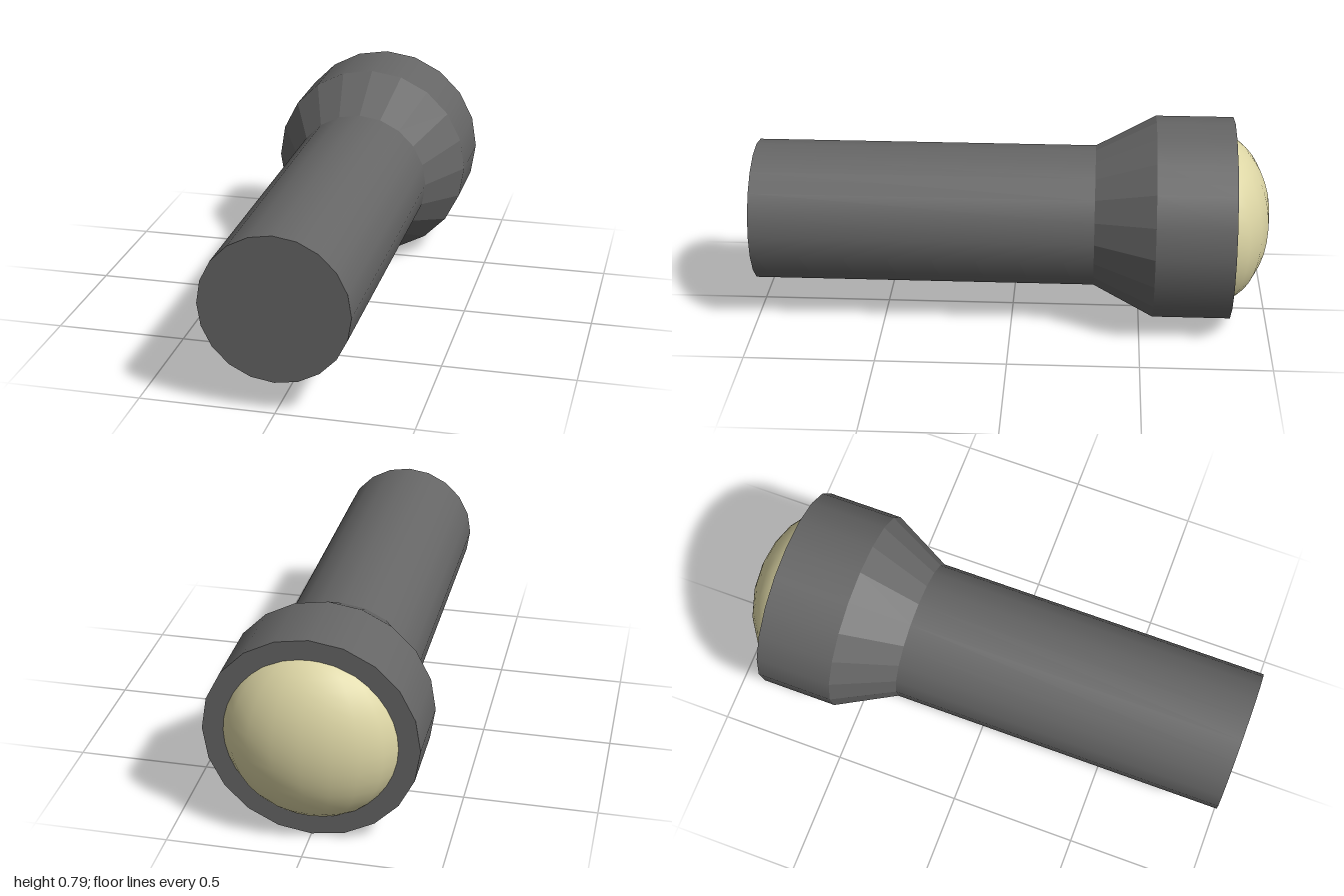
import * as THREE from 'three';

const SIDES = 20;
const AXIS_Y = 0.395;

export function createModel() {
  const group = new THREE.Group();
  const casing = new THREE.MeshStandardMaterial({ color: 0x666666 });
  const facetedCasing = new THREE.MeshStandardMaterial({ color: 0x666666, flatShading: true });
  const glass = new THREE.MeshStandardMaterial({ color: 0xddd6a5 });

  // A round section lying along z, from zFront down to zBack
  function section(name, rFront, rBack, zFront, zBack, material, open = false) {
    const geometry = new THREE.CylinderGeometry(rFront, rBack, zFront - zBack, SIDES, 1, open);
    geometry.rotateX(Math.PI / 2);
    const mesh = new THREE.Mesh(geometry, material);
    mesh.name = name;
    mesh.position.set(0, AXIS_Y, (zFront + zBack) / 2);
    group.add(mesh);
  }

  section('handle', 0.275, 0.275, 1, -0.32, casing);
  section('flare', 0.275, 0.395, -0.32, -0.55, facetedCasing, true);
  section('head', 0.395, 0.395, -0.55, -0.85, casing);

  // Flattened lens bulging out of the head
  const lens = new THREE.Mesh(new THREE.SphereGeometry(0.34, SIDES, 20), glass);
  lens.name = 'lens';
  lens.scale.z = 0.23 / 0.34;
  lens.position.set(0, AXIS_Y, -0.77);
  group.add(lens);

  return group;
}
